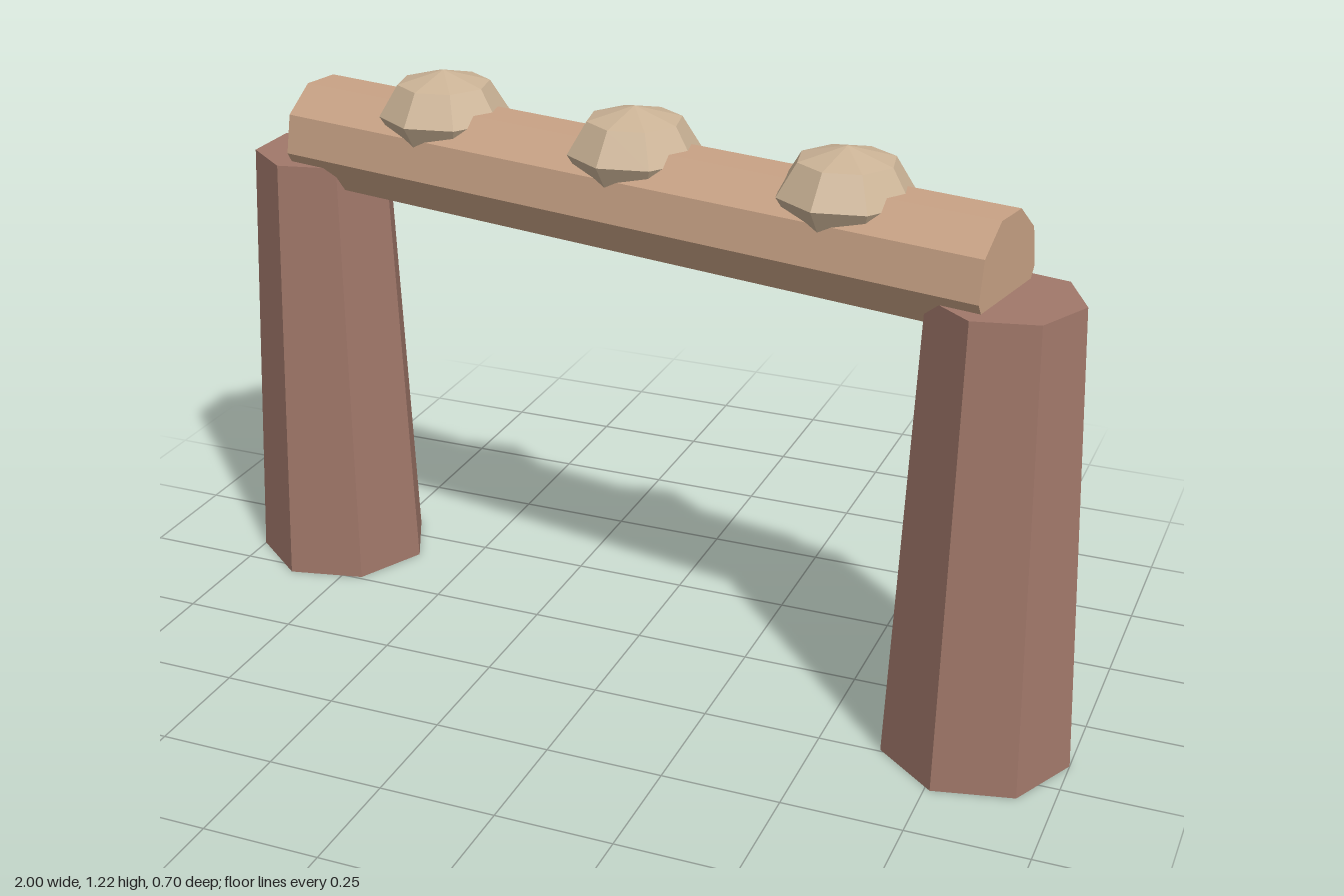
import * as THREE from 'three';

const material = (color) => new THREE.MeshStandardMaterial({ color, flatShading: true });

export function createModel() {
  const model = new THREE.Group();
  model.name = 'gateway';

  // Everything is laid out along one axis, turned slightly about y
  const span = new THREE.Group();
  span.name = 'crossbeamAssembly';
  span.position.x = -0.01;
  span.rotation.y = -0.194;
  model.add(span);

  function addPart(parent, name, geometry, mat, x, y, z) {
    const mesh = new THREE.Mesh(geometry, mat);
    mesh.name = name;
    mesh.position.set(x, y, z);
    parent.add(mesh);
  }

  // Tapered seven-sided pillars, one corner pointing to +x
  const pillarGeometry = new THREE.CylinderGeometry(0.153, 0.195, 0.987, 7);
  pillarGeometry.rotateY(Math.PI / 2);
  const pillarMaterial = material(0xa1786a);
  for (const side of [-1, 1]) {
    const name = side > 0 ? 'leftPillar' : 'rightPillar';
    addPart(model, name, pillarGeometry, pillarMaterial, -0.01 + side * 0.815, 0.4935, side * 0.16);
  }

  // Nine-sided beam with a flat side up
  const beamGeometry = new THREE.CylinderGeometry(0.125, 0.125, 1.66, 9, 1, false, -Math.PI / 2);
  beamGeometry.rotateZ(Math.PI / 2);
  addPart(span, 'beam', beamGeometry, material(0xc8a285), 0, 1.03, 0);

  // Flattened knobs along the top of the beam
  const knobGeometry = new THREE.SphereGeometry(0.14, 8, 4);
  knobGeometry.scale(1, 0.68, 1);
  const knobMaterial = material(0xcbb396);
  for (let i = -1; i <= 1; i++) {
    addPart(span, 'knob', knobGeometry, knobMaterial, i * 0.485, 1.126, 0);
  }

  return model;
}
